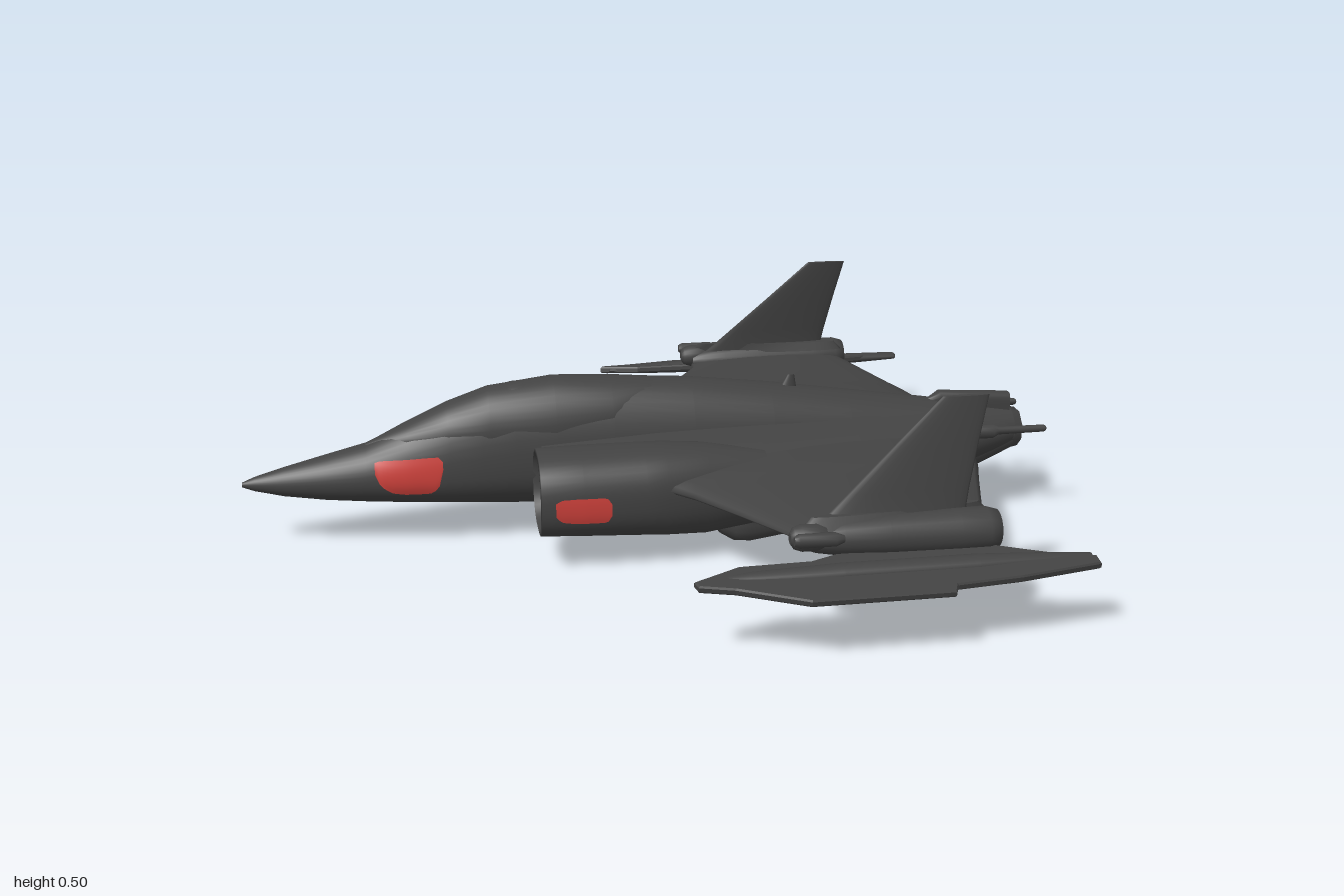
import * as THREE from 'three';

const grey = new THREE.MeshStandardMaterial({ color: 0x434343 });
grey.name = 'dark grey hull';
const red = new THREE.MeshStandardMaterial({ color: 0xd0423c });
red.name = 'red marking';

// Closed skin over a list of equal-length rings, capped at both ends.
function skin(rings) {
  const n = rings[0].length, pos = [], idx = [];
  rings.forEach(r => r.forEach(p => pos.push(...p)));
  for (let i = 0; i < rings.length - 1; i++)
    for (let j = 0; j < n; j++) {
      const a = i * n + j, b = i * n + (j + 1) % n;
      idx.push(a, b, a + n, b, b + n, a + n);
    }
  [rings[0], rings[rings.length - 1]].forEach((r, e) => {
    const base = pos.length / 3, c = [0, 1, 2].map(k => r.reduce((s, p) => s + p[k], 0) / n);
    r.forEach(p => pos.push(...p));
    pos.push(...c);
    for (let j = 0; j < n; j++) {
      const a = base + j, b = base + (j + 1) % n;
      if (e) idx.push(a, b, base + n); else idx.push(b, a, base + n);
    }
  });
  // Turn the faces outward
  const P = i => new THREE.Vector3().fromArray(pos, i * 3);
  let volume = 0;
  for (let i = 0; i < idx.length; i += 3) volume += P(idx[i]).dot(P(idx[i + 1]).cross(P(idx[i + 2])));
  if (volume < 0) idx.reverse();
  return toGeometry(pos, idx);
}

function toGeometry(pos, idx) {
  const g = new THREE.BufferGeometry();
  g.setAttribute('position', new THREE.Float32BufferAttribute(pos, 3));
  g.setIndex(idx);
  g.computeVertexNormals();
  return g;
}

// Rounded cross-section: [x, top, bottom, half width, widest height, roundness]
function ring([x, top, bot, w, yc, n], zc = 0, seg = 40) {
  const pw = v => Math.sign(v) * Math.abs(v) ** (2 / n);
  return Array.from({ length: seg }, (_, k) => {
    const a = (k + 0.5) / seg * Math.PI * 2, s = Math.sin(a);
    return [x, yc + (s > 0 ? top - yc : yc - bot) * pw(s), zc + w * pw(Math.cos(a))];
  });
}
const loft = (sections, zc = 0, seg = 40) => skin(sections.map(s => ring(s, zc, seg)));

// Round pod along x: profile points are [x, radius]
const pod = (profile, y, z, seg = 20) => loft(profile.map(([x, r]) => [x, y + r, y - r, r, y, 2]), z, seg);

// Thin blade: sections are [leading point, trailing point, thickness]; axis 1 = thick in y, 2 = thick in z
const blade = (sections, axis) => skin(sections.map(([l, t, th]) =>
  Array.from({ length: 24 }, (_, k) => {
    const a = k / 24 * Math.PI * 2, u = (1 - Math.cos(a)) / 2;
    const p = l.map((v, i) => v + (t[i] - v) * u);
    p[axis] += Math.sin(a) * th / 2;
    return p;
  })));

// Thin marking that follows the side of a lofted hull
function marking(sections, zc, outline) {
  const pos = [], idx = [], rows = 8, cols = 16;
  const lerpTable = (table, x) => {
    let i = 0;
    while (i < table.length - 2 && x > table[i + 1][0]) i++;
    const f = (x - table[i][0]) / (table[i + 1][0] - table[i][0]);
    return table[i].map((v, k) => v + (table[i + 1][k] - v) * f);
  };
  const x0 = outline[0][0], x1 = outline[outline.length - 1][0];
  for (let i = 0; i <= cols; i++) {
    const x = x0 + (x1 - x0) * i / cols;
    const [, lo, hi] = lerpTable(outline, x), [, top, bot, w, yc, n] = lerpTable(sections, x);
    for (let j = 0; j <= rows; j++) {
      const y = lo + (hi - lo) * j / rows, d = Math.abs(y - yc) / (y > yc ? top - yc : yc - bot);
      pos.push(x, y, zc + w * (1 - d ** n) ** (1 / n) + 0.003);
      if (i < cols && j < rows) {
        const a = i * (rows + 1) + j, b = a + rows + 1;
        idx.push(a, b, a + 1, b, b + 1, a + 1);
      }
    }
  }
  return toGeometry(pos, idx);
}

function mirrored(geo) {
  const g = geo.index ? geo.toNonIndexed() : geo.clone();
  g.scale(1, 1, -1);
  for (const at of Object.values(g.attributes)) {
    const s = at.itemSize, arr = at.array;
    for (let i = 0; i < at.count; i += 3)
      for (let k = 0; k < s; k++) {
        const a = (i + 1) * s + k, b = (i + 2) * s + k;
        [arr[a], arr[b]] = [arr[b], arr[a]];
      }
  }
  return g;
}

export function createModel() {
  const model = new THREE.Group();
  model.name = 'jetFighter';
  const add = (name, geo, mat = grey) => {
    const m = new THREE.Mesh(geo, mat);
    m.name = name;
    model.add(m);
  };
  const pair = (name, geo, mat = grey) => {
    add(name + 'Left', geo, mat);
    add(name + 'Right', mirrored(geo), mat);
  };

  // Slender fuselage with nose and raised canopy line
  const hull = [
    [-1, .166, .154, .006, .16, 2], [-0.97, .178, .143, .018, .16, 2], [-0.9, .198, .127, .036, .16, 2],
    [-0.8, .223, .113, .058, .165, 2], [-0.7, .248, .104, .074, .17, 2], [-0.6, .293, .097, .086, .175, 2.05],
    [-0.5, .34, .091, .095, .18, 2.1], [-0.42, .37, .086, .1, .185, 2.1], [-0.34, .388, .082, .105, .19, 2.1],
    [-0.24, .395, .077, .109, .19, 2.1], [-0.1, .39, .07, .112, .2, 2.1], [0.1, .377, .06, .112, .2, 2.1],
    [0.3, .353, .07, .108, .2, 2.1], [0.5, .323, .08, .1, .2, 2.1], [0.7, .293, .1, .088, .2, 2.1],
    [0.85, .27, .13, .072, .2, 2.1], [0.94, .255, .15, .056, .2, 2]];
  add('fuselage', loft(hull));

  // Raised canopy edge
  add('canopy', loft([
    [-0.7, .25, .235, .01, .24, 2], [-0.6, .297, .25, .056, .26, 2], [-0.5, .344, .255, .077, .265, 2],
    [-0.4, .379, .26, .09, .27, 2], [-0.24, .399, .26, .098, .275, 2], [-0.1, .393, .275, .094, .29, 2],
    [0, .384, .32, .06, .34, 2], [0.05, .378, .355, .01, .36, 2]]));

  // Broad body blending the engines into the wings
  add('rearBody', loft([
    [-0.28, .262, .09, .2, .18, 2.5], [-0.1, .272, .07, .27, .17, 2.5], [0, .277, .06, .298, .165, 2.5],
    [0.1, .28, .052, .292, .165, 2.4], [0.25, .282, .05, .262, .17, 2.3], [0.5, .28, .07, .205, .18, 2.2],
    [0.7, .275, .1, .15, .19, 2.2], [0.82, .265, .125, .115, .2, 2.1], [0.94, .24, .155, .055, .2, 2]]));

  // Flat bottomed belly fairing
  add('bellyFairing', loft([
    [0.13, .16, .045, .19, .1, 4], [0.15, .17, .018, .205, .1, 4.5], [0.18, .18, .003, .22, .1, 5],
    [0.22, .18, 0, .225, .1, 5], [0.35, .19, .012, .21, .1, 4.5], [0.5, .2, .028, .182, .12, 4],
    [0.65, .21, .058, .145, .14, 3.5], [0.8, .22, .102, .1, .17, 3], [0.94, .22, .15, .052, .19, 2.5]]));

  // Hollow engine intakes with a hub inside
  const nacelle = [
    [-0.3, .278, .077, .107, .175, 2.4], [-0.2, .28, .072, .109, .17, 2.4], [-0.05, .28, .064, .108, .168, 2.4],
    [0, .28, .06, .104, .168, 2.4], [0.1, .275, .055, .09, .168, 2.3], [0.25, .25, .07, .06, .17, 2]];
  pair('engineNacelle', loft([...nacelle].reverse().concat([
    [-0.302, .268, .087, .097, .175, 2.4], [-0.27, .262, .093, .091, .175, 2.4],
    [-0.2, .256, .099, .085, .175, 2.2]]), 0.202));
  pair('intakeHub', pod([[-0.275, .004], [-0.26, .02], [-0.235, .035], [-0.19, .042]], 0.175, 0.202));

  // Red side markings
  pair('noseMarking', marking(hull, 0, [
    [-0.68, .195, .222], [-0.667, .165, .226], [-0.64, .146, .228], [-0.61, .141, .23],
    [-0.55, .142, .235], [-0.53, .155, .236], [-0.52, .185, .236], [-0.517, .205, .225]]), red);
  pair('engineMarking', marking(nacelle, 0.202, [
    [-0.268, .155, .188], [-0.255, .14, .196], [-0.22, .134, .197], [-0.155, .133, .196],
    [-0.142, .137, .192], [-0.137, .15, .18]]), red);

  // Wings
  pair('wing', blade([
    [[-0.1, .2, .1], [0.81, .2, .1], .1], [[-0.03, .2, .27], [0.765, .205, .27], .085],
    [[0.01, .2, .31], [0.752, .207, .31], .075], [[0.045, .2, .35], [0.738, .208, .35], .065],
    [[0.13, .2, .47], [0.7, .21, .47], .055], [[0.22, .2, .605], [0.658, .212, .605], .045],
    [[0.23, .205, .66], [0.65, .212, .66], .04]], 1));

  // Wing tip pods, open at the back
  pair('tipPod', pod([[0.23, .02], [0.26, .03], [0.32, .04], [0.42, .047], [0.58, .05], [0.645, .05],
    [0.672, .042], [0.672, .026], [0.62, .022]], 0.21, 0.65));
  pair('podNose', pod([[0.2, .012], [0.208, .024], [0.225, .03], [0.26, .03], [0.28, .022]], 0.222, 0.665));
  pair('podGun', pod([[0.2, .01], [0.21, .016], [0.29, .016], [0.31, .008]], 0.232, 0.705, 10));
  pair('podTopFairing', blade([
    [[0.22, .235, .665], [0.66, .24, .61], .05], [[0.25, .262, .65], [0.64, .262, .615], .03]], 2));

  // Tip fins leaning inward
  pair('tipFin', blade([
    [[0.25, .225, .645], [0.61, .225, .635], .036], [[0.29, .26, .637], [0.605, .26, .632], .026],
    [[0.335, .302, .629], [0.612, .302, .625], .019], [[0.44, .4, .611], [0.632, .4, .61], .015],
    [[0.55, .503, .595], [0.655, .503, .594], .011]], 2));

  // Outer winglets drooping slightly from the pods
  const outline = [[-0.02, .745], [0.04, .72], [0.08, .703], [0.24, .7], [0.3, .68], [0.64, .68], [0.7, .702],
    [0.78, .73], [0.865, .748], [0.865, .772], [0.68, .8], [0.53, .812], [0.52, .835], [0.21, .835],
    [0.06, .777], [-0.015, .76]];
  const plate = new THREE.ExtrudeGeometry(
    new THREE.Shape(outline.map(([x, z]) => new THREE.Vector2(x, z - 0.75))),
    { depth: 0.01, bevelEnabled: true, bevelThickness: 0.004, bevelSize: 0.003, bevelSegments: 1 });
  plate.translate(0, 0, -0.005).rotateX(Math.PI / 2 + 0.2).translate(0, 0.164, 0.75);
  pair('winglet', plate);
  pair('wingletRib', loft([
    [0, .172, .162, .008, .167, 2], [0.1, .18, .154, .02, .167, 2], [0.3, .186, .15, .028, .167, 2],
    [0.6, .186, .15, .028, .167, 2], [0.75, .18, .155, .018, .167, 2], [0.86, .173, .16, .01, .166, 2]], 0.735, 16));

  // Tail: hollow octagonal exhaust, spine block and rear probes
  add('exhaustNozzle', pod([[0.82, .07], [0.9, .062], [0.962, .05], [0.962, .036], [0.9, .03]], 0.2, 0, 8));
  add('tailSpine', loft([
    [0.72, .29, .25, .01, .27, 3], [0.75, .308, .24, .02, .27, 4], [0.85, .302, .23, .022, .26, 4],
    [0.935, .296, .22, .02, .26, 4]], 0, 20));
  pair('tailProbe', pod([[0.74, .008], [0.79, .018], [0.86, .018], [0.875, .01], [0.995, .009], [1, .006]],
    0.23, 0.105, 12));

  // Small dorsal antenna
  add('antenna', blade([
    [[0.33, .335, 0], [0.375, .335, 0], .02], [[0.352, .373, 0], [0.368, .373, 0], .01]], 2));

  return model;
}
